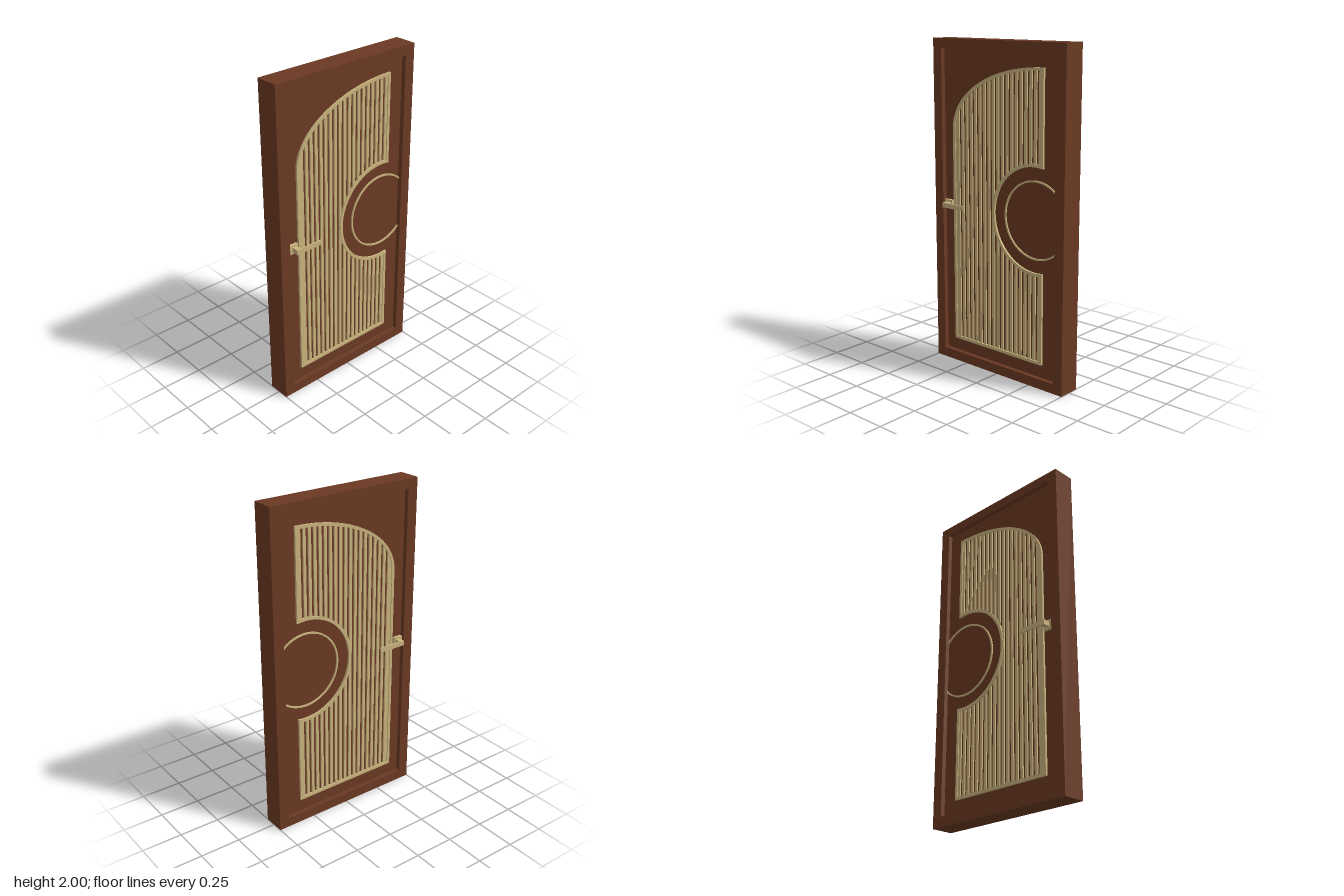
import * as THREE from 'three';

const wood = new THREE.MeshStandardMaterial({ name: 'brown wood', color: 0x6b3a23 });
const brass = new THREE.MeshStandardMaterial({ name: 'pale brass', color: 0xcab47e });

// Decoration layout in the plane of the door: u = -z, v = y
const LEFT = -0.36, RIGHT = 0.335, BOTTOM = 0.14, SPRING = 1.47, TOP = 1.862;
const CU = 0.28, CV = 1, R = 0.308;
const BORDER = 0.018;

// Extrudes a flat shape evenly to both faces of the door
function slab(name, shape, halfDepth, material) {
  const geo = new THREE.ExtrudeGeometry(shape, { depth: halfDepth * 2, bevelEnabled: false, curveSegments: 48 });
  geo.translate(0, 0, -halfDepth).rotateY(Math.PI / 2);
  const mesh = new THREE.Mesh(geo, material);
  mesh.name = name;
  return mesh;
}

function rect(u0, v0, u1, v1) {
  return new THREE.Shape([[u0, v0], [u1, v0], [u1, v1], [u0, v1]].map(p => new THREE.Vector2(...p)));
}

function box(name, size, pos, material) {
  const mesh = new THREE.Mesh(new THREE.BoxGeometry(...size), material);
  mesh.name = name;
  mesh.position.set(...pos);
  return mesh;
}

// Arched outline with a round bite, shrunk by an inset
function outline(inset) {
  const s = new THREE.Shape();
  const r = R + inset, right = RIGHT - inset;
  const a = Math.acos((right - CU) / r);
  const rx = RIGHT - LEFT - inset, ry = TOP - SPRING - inset;
  s.moveTo(LEFT + inset, BOTTOM + inset);
  s.lineTo(right, BOTTOM + inset);
  s.lineTo(right, CV - r * Math.sin(a));
  s.absarc(CU, CV, r, -a, a - Math.PI * 2, true);
  const end = Math.acos((right - RIGHT) / rx);
  s.lineTo(right, SPRING + ry * Math.sin(end));
  s.absellipse(RIGHT, SPRING, rx, ry, end, Math.PI, false, 0);
  s.closePath();
  return s;
}

// Heights of the arch and of the round bite, along the middle of the border
const archAt = u => {
  const t = (RIGHT - u) / (RIGHT - LEFT - BORDER / 2);
  return SPRING + (TOP - SPRING - BORDER / 2) * Math.sqrt(Math.max(0, 1 - t * t));
};
const biteAt = u => Math.sqrt(Math.max(0, (R + BORDER / 2) ** 2 - (u - CU) ** 2));

function slats() {
  const group = new THREE.Group();
  group.name = 'slats';
  const half = 0.05, pitch = 0.035, gap = 0.0165, count = 18, first = -0.304;
  const add = pts => group.add(slab('slat', new THREE.Shape(pts.map(p => new THREE.Vector2(...p))), half, brass));
  for (let i = 0; i <= count; i++) {
    const u0 = i === 0 ? LEFT + BORDER / 2 : first + (i - 1) * pitch + gap / 2;
    const u1 = i === count ? RIGHT - BORDER / 2 : first + i * pitch - gap / 2;
    const b0 = biteAt(u0), b1 = biteAt(u1), low = BOTTOM + BORDER / 2;
    if (b0 + b1 === 0) {
      add([[u0, low], [u1, low], [u1, archAt(u1)], [u0, archAt(u0)]]);
    } else {
      add([[u0, low], [u1, low], [u1, CV - b1], [u0, CV - b0]]);
      add([[u0, CV + b0], [u1, CV + b1], [u1, archAt(u1)], [u0, archAt(u0)]]);
    }
  }
  return group;
}

// Ring cut off where it meets the door jamb
function cutRing(outer, inner, edge) {
  const s = new THREE.Shape();
  const a = Math.acos((edge - CU) / outer), b = Math.acos((edge - CU) / inner);
  s.absarc(CU, CV, outer, a, Math.PI * 2 - a, false);
  s.absarc(CU, CV, inner, Math.PI * 2 - b, b, true);
  s.closePath();
  return s;
}

export function createModel() {
  const door = new THREE.Group();
  door.name = 'door';

  // Frame and recessed leaf
  const frame = rect(-0.5, 0, 0.5, 2);
  frame.holes.push(rect(-0.435, 0.06, 0.435, 1.94));
  door.add(slab('frame', frame, 0.07, wood));
  door.add(slab('leaf', rect(-0.436, 0.059, 0.436, 1.941), 0.042, wood));

  // Raised brass decoration
  const border = outline(0);
  border.holes.push(outline(BORDER));
  door.add(slab('decorBorder', border, 0.055, brass));
  door.add(slats());
  door.add(slab('innerRing', cutRing(0.232, 0.222, 0.435), 0.05, brass));

  // Lever handles on both faces
  for (const side of [1, -1]) {
    const handle = new THREE.Group();
    handle.name = side > 0 ? 'leftHandle' : 'rightHandle';
    handle.add(box('handlePlate', [0.02, 0.056, 0.06], [side * 0.05, 1, 0.4], brass));
    handle.add(box('handleStem', [0.053, 0.03, 0.03], [side * 0.0765, 1, 0.395], brass));
    handle.add(box('handleLever', [0.009, 0.029, 0.15], [side * 0.0985, 1, 0.306], brass));
    door.add(handle);
  }
  return door;
}
